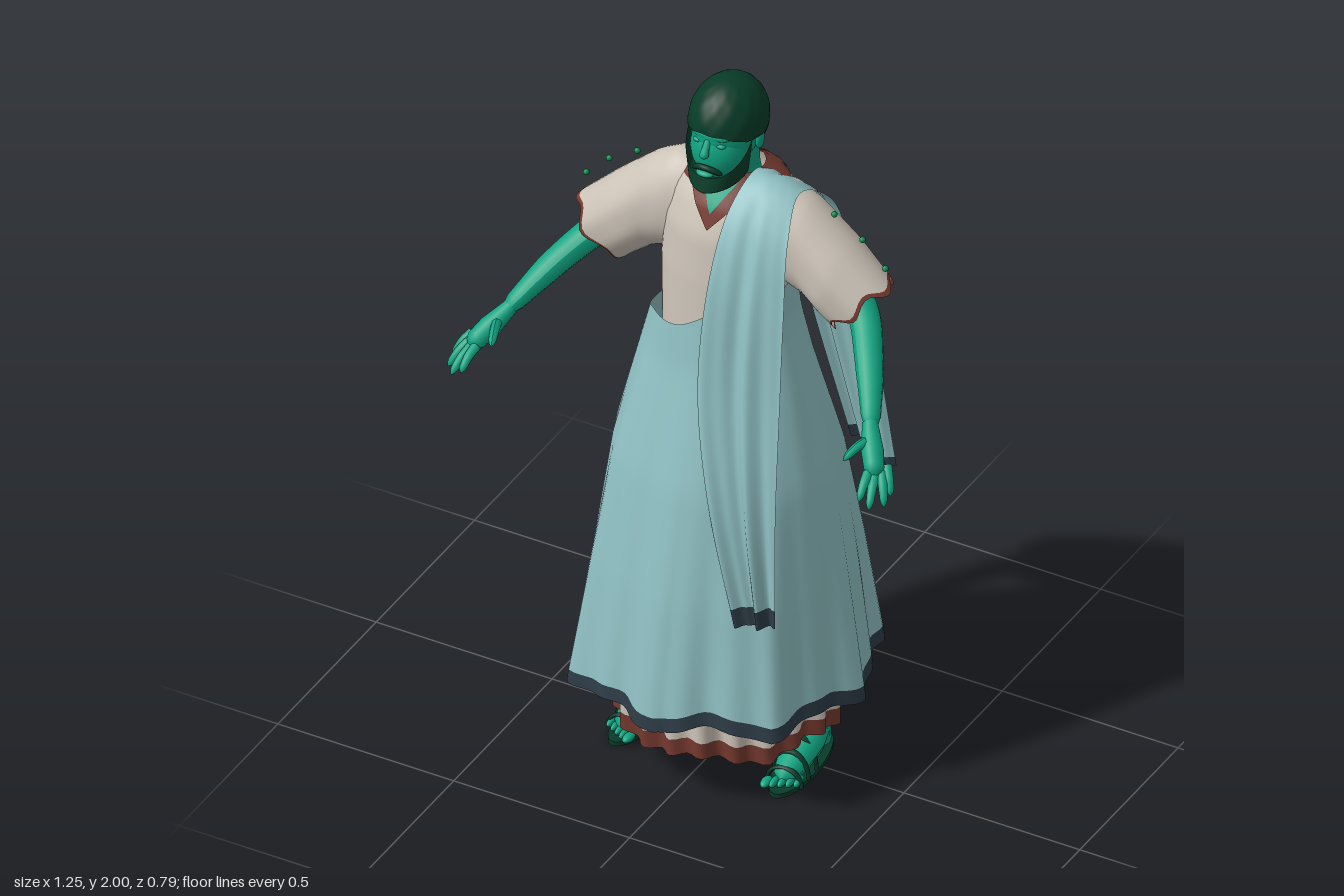
import * as THREE from 'three';
import { mergeVertices } from 'three/addons/utils/BufferGeometryUtils.js';

const TAU = Math.PI * 2;
const V = (p) => new THREE.Vector3(...p);
const lerp = THREE.MathUtils.lerp;

function paint(name, color) {
  const m = new THREE.MeshStandardMaterial({ color, side: THREE.DoubleSide });
  m.name = name;
  return m;
}

// Surface from a rule f(u, v) -> [x, y, z], with u and v running over the given ranges
function sheet(f, nu, nv, [u0, u1] = [0, 1], [v0, v1] = [0, 1]) {
  const pos = [], idx = [], row = nu + 1;
  for (let j = 0; j <= nv; j++)
    for (let i = 0; i <= nu; i++) pos.push(...f(lerp(u0, u1, i / nu), lerp(v0, v1, j / nv)));
  for (let j = 0; j < nv; j++)
    for (let i = 0; i < nu; i++) {
      const a = j * row + i;
      idx.push(a, a + 1, a + row, a + 1, a + row + 1, a + row);
    }
  let g = new THREE.BufferGeometry();
  g.setAttribute('position', new THREE.Float32BufferAttribute(pos, 3));
  g.setIndex(idx);
  g = mergeVertices(g, 1e-5);
  g.computeVertexNormals();
  return g;
}

// Interpolates rows [key, a, b, ...] that rise in key
function table(rows, k) {
  let i = 0;
  while (i < rows.length - 2 && k > rows[i + 1][0]) i++;
  const a = rows[i], b = rows[i + 1];
  const t = THREE.MathUtils.clamp((k - a[0]) / (b[0] - a[0]), 0, 1);
  return a.slice(1).map((q, n) => lerp(q, b[n + 1], t));
}

// Tapered tube through points with a radius at each, rounded off at its far end
function limb(points, radii, seg = 20, sides = 12) {
  const curve = new THREE.CatmullRomCurve3(points.map(V));
  const g = new THREE.TubeGeometry(curve, seg, 1, sides), p = g.attributes.position, q = new THREE.Vector3();
  for (let i = 0; i <= seg; i++) {
    const t = i / seg, c = curve.getPointAt(t), k = t * (radii.length - 1), n = Math.min(Math.floor(k), radii.length - 2);
    let r = lerp(radii[n], radii[n + 1], k - n);
    if (i === seg) r *= 0.05;
    else if (i === seg - 1) r *= 0.75;
    for (let j = 0; j <= sides; j++) {
      const a = i * (sides + 1) + j;
      q.fromBufferAttribute(p, a).sub(c).multiplyScalar(r).add(c);
      p.setXYZ(a, q.x, q.y, q.z);
    }
  }
  g.computeVertexNormals();
  return g;
}

export function createModel() {
  const model = new THREE.Group();
  const skin = paint('green skin', 0x0fa582), hairMat = paint('dark green hair', 0x083b28);
  const cream = paint('cream linen', 0xcdc4b8), blue = paint('pale blue cloth', 0x8fbfc2);
  const navy = paint('navy hem', 0x2d3b46), brown = paint('red brown trim', 0x74392f);
  const leather = paint('dark sandal', 0x083b2b), buttonMat = paint('green button', 0x0c8a4c);
  const add = (parent, name, geo, mat, pos = [0, 0, 0], scale = [1, 1, 1]) => {
    const m = new THREE.Mesh(geo, mat);
    m.name = name;
    m.position.set(...pos);
    m.scale.set(...scale);
    parent.add(m);
    return m;
  };
  const ball = new THREE.SphereGeometry(1, 24, 16);

  // Overskirt: irregular folds that fade towards a slanted waist
  const skirtRows = [[0.26, 0.395, 0.403], [0.6, 0.347, 0.338], [0.9, 0.303, 0.266], [1.2, 0.225, 0.172], [1.34, 0.188, 0.15], [1.47, 0.183, 0.142]];
  const skirt = (u, v) => {
    const a = u * TAU, s = Math.sin(a), c = Math.cos(a), low = 1 - v;
    const y = lerp(0.264 - 0.012 * Math.cos(8 * a) + 0.006 * Math.sin(3 * a), 1.36 + 0.085 * s + 0.012 * Math.sin(5 * a), v);
    const [rx, rz] = table(skirtRows, y);
    const crease = Math.abs(Math.sin(4 * a));
    const f = 1 - low * (0.085 * crease + 0.02 * (1 + Math.sin(19 * a + 1)) * low) + 0.045 * low * Math.sin(2 * a) ** 2 + 0.01 * v * Math.sin(7 * a);
    return [s * rx * f, y, c * rz * f];
  };
  add(model, 'overskirt', sheet(skirt, 144, 30, [0, 1], [0.035, 1]), blue);
  add(model, 'overskirtHem', sheet(skirt, 144, 2, [0, 1], [0, 0.035]), navy);

  // Pleated hem of the long tunic
  const under = (u, v) => {
    const a = u * TAU, f = 0.286 + 0.012 * Math.cos(22 * a) + 0.006 * Math.sin(9 * a);
    return [Math.sin(a) * f, lerp(0.125 + 0.012 * Math.sin(6 * a), 0.38, v), Math.cos(a) * f];
  };
  add(model, 'underTunic', sheet(under, 132, 5, [0, 1], [0.19, 1]), cream);
  add(model, 'underTunicHem', sheet(under, 132, 2, [0, 1], [0, 0.19]), brown);

  // Tunic body; rows are height, half width, front z, back z
  const torsoRows = [[1.26, 0.17, 0.138, -0.138], [1.45, 0.178, 0.126, -0.14], [1.58, 0.178, 0.112, -0.168],
    [1.66, 0.165, 0.08, -0.165], [1.7, 0.135, 0.05, -0.148], [1.735, 0.075, 0.025, -0.11]];
  const torso = (u, v) => {
    const a = u * TAU, y = lerp(1.26, 1.735, v), [rx, f, b] = table(torsoRows, y);
    return [Math.sin(a) * rx, y, (f + b) / 2 + Math.cos(a) * (f - b) / 2];
  };
  add(model, 'tunicBody', sheet(torso, 48, 22, [0, 1], [0, 0.9]), cream);
  add(model, 'collar', sheet(torso, 48, 3, [0, 1], [0.9, 1]), brown);

  // Trim pieces laid over the chest and upper back
  const onBody = (x, y, lift, face) => {
    const [rx, f, b] = table(torsoRows, y);
    return [x, y, (f + b) / 2 + face * ((f - b) / 2 * Math.sqrt(Math.max(0, 1 - (x / rx) ** 2)) + lift)];
  };
  const vee = (u, v) => {
    const s = u * 2 - 1, k = Math.abs(s);
    return onBody(s * lerp(0.055, 0.09, v), lerp(lerp(1.645, 1.605, v), lerp(1.733, 1.708, v), k), 0.007, 1);
  };
  add(model, 'necklineTrim', sheet(vee, 24, 4), brown);
  const chest = (u, v) => {
    const s = u * 2 - 1;
    return onBody(s * 0.055, lerp(lerp(1.64, 1.733, Math.abs(s)), 1.733, v), 0.005, 1);
  };
  add(model, 'bareChest', sheet(chest, 16, 6), skin);
  const yoke = (u, v) => {
    const s = u * 2 - 1;
    return onBody(s * lerp(0.11, 0.07, v), lerp(1.668 + 0.02 * s * s, 1.73, v), 0.004, -1);
  };
  add(model, 'backYoke', sheet(yoke, 20, 5), brown);

  // Sash over the left shoulder, tucked in behind it, between an inner and an outer edge
  const inner = new THREE.CatmullRomCurve3([[0.18, 0.58, 0.29], [0.105, 0.9, 0.283], [0.047, 1.22, 0.235], [0.048, 1.53, 0.175], [0.055, 1.68, 0.09],
    [0.07, 1.742, -0.005], [0.06, 1.665, -0.115], [0.065, 1.5, -0.19], [0.12, 1.2, -0.225], [0.2, 0.815, -0.275]].map(V));
  const outer = new THREE.CatmullRomCurve3([[0.28, 0.585, 0.262], [0.27, 0.9, 0.245], [0.255, 1.2, 0.198], [0.24, 1.45, 0.15], [0.22, 1.63, 0.09],
    [0.2, 1.715, -0.005], [0.225, 1.635, -0.125], [0.26, 1.45, -0.17], [0.31, 1.1, -0.21], [0.35, 0.8, -0.225]].map(V));
  const sash = (u, v) => {
    const p = inner.getPoint(v).lerp(outer.getPoint(v), u), side = Math.cos(v * Math.PI);
    p.z += side * (0.011 * Math.sin(u * 2 * TAU) + 0.006 * Math.sin(u * 3.5 * TAU + v * 5));
    p.y += (1 - Math.abs(side)) * 0.012 * Math.sin(u * Math.PI);
    return p.toArray();
  };
  add(model, 'sash', sheet(sash, 28, 72, [0, 1], [0.018, 0.99]), blue);
  add(model, 'sashFrontHem', sheet(sash, 28, 2, [0, 1], [0, 0.018]), navy);
  add(model, 'sashBackHem', sheet(sash, 28, 2, [0, 1], [0.99, 1]), navy);

  // Head
  const head = new THREE.Group();
  head.name = 'head';
  model.add(head);
  add(head, 'neck', limb([[0, 1.6, -0.055], [0, 1.72, -0.05], [0, 1.84, -0.025]], [0.07, 0.056, 0.06]), skin);
  add(head, 'skull', ball, skin, [0, 1.875, 0], [0.088, 0.112, 0.108]);
  add(head, 'face', ball, skin, [0, 1.828, 0.042], [0.074, 0.09, 0.072]);
  add(head, 'nose', limb([[0, 1.878, 0.1], [0, 1.85, 0.118], [0, 1.832, 0.126]], [0.008, 0.01, 0.014], 10, 10), skin);
  add(head, 'brow', ball, skin, [0, 1.887, 0.086], [0.055, 0.016, 0.021]);
  add(head, 'lips', ball, skin, [0, 1.787, 0.118], [0.024, 0.009, 0.015]);
  const hair = (u, v) => {
    const a = u * TAU, c = Math.cos(a);
    const reach = v * table([[-1, 2.4], [-0.3, 1.95], [0.1, 1.75], [0.5, 1.72], [1, 1.47]], c)[0];
    const r = 1 + 0.016 * Math.sin(11 * a) * Math.sin(reach * 9);
    return [Math.sin(a) * Math.sin(reach) * 0.097 * r, 1.885 + Math.cos(reach) * 0.115, -0.006 + c * Math.sin(reach) * 0.118 * r];
  };
  add(head, 'hair', sheet(hair, 66, 20), hairMat);
  const beard = (u, v) => {
    const a = (u - 0.5) * 3.3, k = Math.abs(u - 0.5) * 2, w = Math.sin(v * Math.PI / 2);
    const pinch = v < 0.7 ? 1 : 1 - 0.95 * ((v - 0.7) / 0.3) ** 2;
    return [Math.sin(a) * lerp(0.088, 0.072, w) * pinch, lerp(lerp(1.776, 1.88, k * k), lerp(1.73, 1.75, k), w), 0.035 + Math.cos(a) * lerp(0.088, 0.1, w) * pinch];
  };
  add(head, 'beard', sheet(beard, 32, 12), hairMat);
  add(head, 'moustache', limb([[-0.04, 1.782, 0.1], [-0.02, 1.798, 0.114], [0, 1.803, 0.119], [0.02, 1.798, 0.114], [0.04, 1.782, 0.1]],
    [0.006, 0.008, 0.008, 0.008, 0.006]), hairMat);

  // Sleeve: rows are step, top x, top y, bottom x, bottom y, half depth
  const sleeveRows = [[0, 0.07, 1.705, 0.1, 1.42, 0.085], [0.22, 0.15, 1.722, 0.17, 1.43, 0.093], [0.42, 0.22, 1.685, 0.22, 1.41, 0.092],
    [0.7, 0.33, 1.59, 0.26, 1.38, 0.1], [1, 0.435, 1.49, 0.292, 1.352, 0.09]];
  const sleeve = (u, v) => {
    const a = u * TAU, [tx, ty, bx, by, d] = table(sleeveRows, v), k = (1 + Math.cos(a)) / 2;
    const wave = 0.01 * v ** 3 * Math.sin(5 * a + 1);
    return [lerp(bx, tx, k) + wave, lerp(by, ty, k) - wave, -0.036 + Math.sin(a) * d * (1 + 0.03 * v * Math.sin(7 * a))];
  };

  for (const side of [1, -1]) {
    const half = new THREE.Group();
    half.name = side > 0 ? 'leftSide' : 'rightSide';
    half.scale.x = side;
    model.add(half);

    add(half, 'sleeve', sheet(sleeve, 40, 20, [0, 1], [0, 0.97]), cream);
    add(half, 'sleeveTrim', sheet(sleeve, 40, 1, [0, 1], [0.97, 1]), brown);
    for (const [x, y] of [[0.28, 1.66], [0.36, 1.61], [0.425, 1.545]])
      add(half, 'button', ball, buttonMat, [x, y, -0.04], [0.008, 0.008, 0.008]);
    add(half, 'ear', ball, skin, [0.088, 1.845, -0.005], [0.009, 0.027, 0.017]);
    add(half, 'eye', ball, skin, [0.032, 1.865, 0.094], [0.014, 0.007, 0.01]);

    // Arm and hand
    add(half, 'arm', limb([[0.15, 1.6, -0.04], [0.28, 1.5, -0.045], [0.37, 1.415, -0.02], [0.44, 1.345, 0.07], [0.525, 1.232, 0.21]],
      [0.05, 0.046, 0.041, 0.035, 0.021], 28), skin);
    add(half, 'palm', limb([[0.51, 1.25, 0.19], [0.542, 1.208, 0.236], [0.578, 1.16, 0.285]], [0.02, 0.029, 0.025], 12), skin);
    const fingers = [[[0.588, 1.178, 0.245], [0.622, 1.122, 0.285]], [[0.583, 1.168, 0.263], [0.62, 1.106, 0.315]],
      [[0.572, 1.163, 0.278], [0.594, 1.108, 0.347]], [[0.557, 1.17, 0.285], [0.566, 1.124, 0.347]], [[0.53, 1.225, 0.22], [0.5, 1.203, 0.31]]];
    for (const [a, b] of fingers) {
      const mid = V(a).lerp(V(b), 0.5);
      mid.y += 0.008;
      add(half, 'finger', limb([a, mid.toArray(), b], [0.014, 0.012, 0.009], 10, 8), skin);
    }

    // Leg, foot and sandal
    const foot = new THREE.Group();
    foot.name = 'foot';
    foot.position.x = 0.22;
    foot.rotation.y = 0.06;
    half.add(foot);
    add(foot, 'leg', limb([[0, 0.04, -0.05], [0, 0.12, -0.046], [-0.02, 0.4, -0.05], [-0.06, 0.8, -0.03]], [0.044, 0.042, 0.058, 0.07]), skin);
    add(foot, 'heel', ball, skin, [0, 0.045, -0.062], [0.038, 0.037, 0.045]);
    add(foot, 'instep', limb([[0, 0.085, -0.07], [0, 0.072, -0.02], [0, 0.047, 0.06], [0, 0.032, 0.14]], [0.034, 0.046, 0.038, 0.021]), skin, [0, 0, 0], [1.15, 1, 1]);
    for (let i = 0; i < 5; i++)
      add(foot, 'toe', ball, skin, [-0.034 + i * 0.018, 0.025, 0.153 - i * 0.009], [i ? 0.009 : 0.013, 0.011, 0.024]);
    add(foot, 'sandalSole', new THREE.CylinderGeometry(1, 1, 0.013, 32), leather, [0, 0.007, 0.025], [0.052, 1, 0.152]);
    add(foot, 'ankleStrap', new THREE.TorusGeometry(0.045, 0.009, 8, 24), leather, [0, 0.112, -0.046]).rotation.x = Math.PI / 2;
    for (const [z, h] of [[0.035, 0.1], [0.08, 0.083], [0.12, 0.06]])
      add(foot, 'footStrap', new THREE.TorusGeometry(1, 0.1, 6, 20, Math.PI), leather, [0, 0.01, z], [0.048, h - 0.012, 0.08]);
  }
  return model;
}
